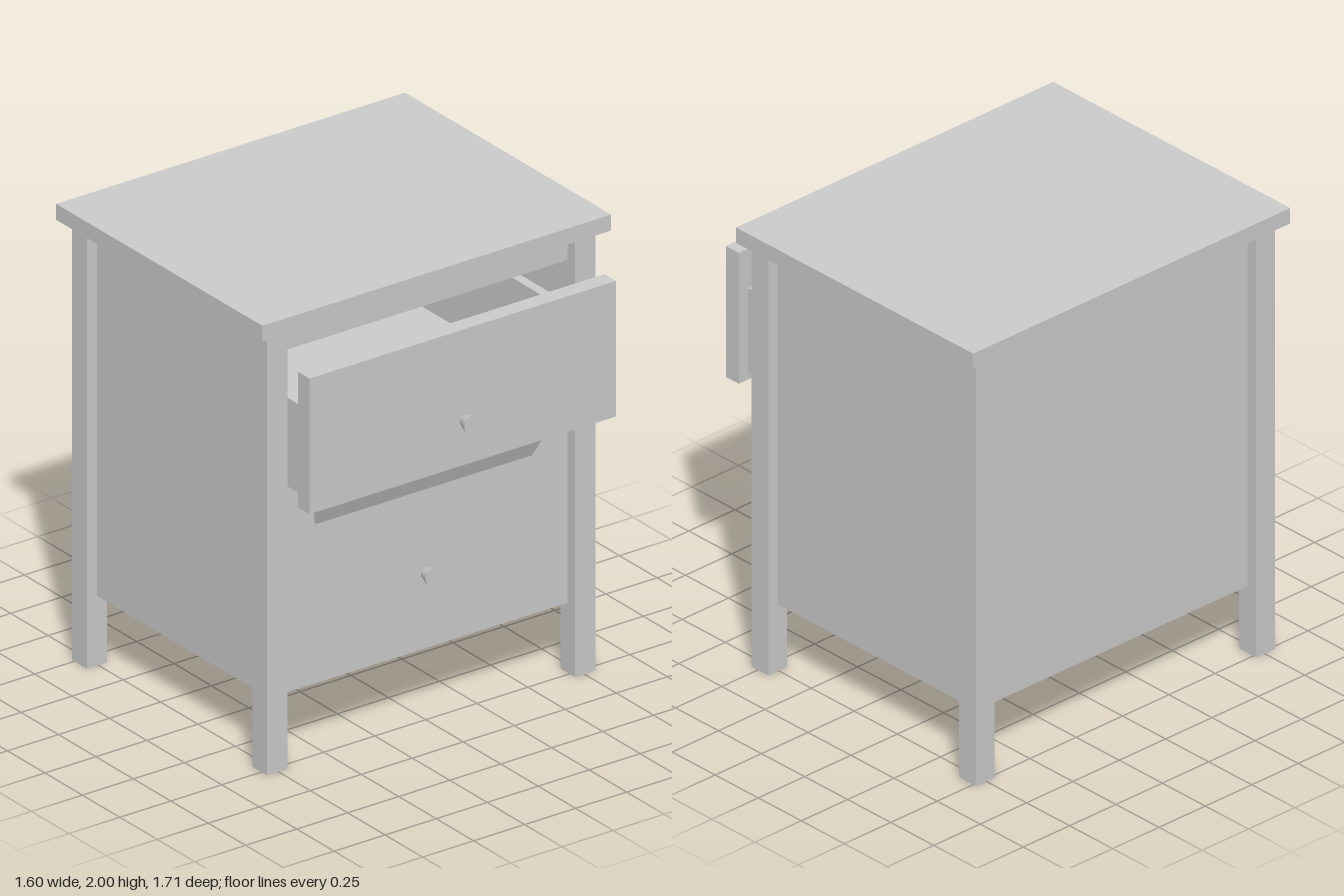
import * as THREE from 'three';

const grey = new THREE.MeshStandardMaterial({ color: 0xcccccc, flatShading: true });
const smooth = new THREE.MeshStandardMaterial({ color: 0xcccccc });
const thin = new THREE.MeshStandardMaterial({ color: 0xcccccc, flatShading: true, side: THREE.DoubleSide });

// Box given by its limits on each axis
function box(parent, name, [x0, x1], [y0, y1], [z0, z1]) {
  const mesh = new THREE.Mesh(new THREE.BoxGeometry(x1 - x0, y1 - y0, z1 - z0), grey);
  mesh.position.set((x0 + x1) / 2, (y0 + y1) / 2, (z0 + z1) / 2);
  mesh.name = name;
  parent.add(mesh);
}

// Flared knob pointing along +x, starting at x
function knob(parent, name, x, y) {
  const geometry = new THREE.CylinderGeometry(0.043, 0.024, 0.057, 10);
  geometry.rotateZ(-Math.PI / 2);
  const mesh = new THREE.Mesh(geometry, smooth);
  mesh.position.set(x + 0.0285, y, -0.01);
  mesh.name = name;
  parent.add(mesh);
}

export function createModel() {
  const model = new THREE.Group();
  model.name = 'nightstand';

  // Carcass
  const cabinet = new THREE.Group();
  cabinet.name = 'cabinet';
  model.add(cabinet);
  box(cabinet, 'tabletop', [-0.803, 0.573], [1.93, 2], [-0.855, 0.855]);
  for (const s of [1, -1]) {
    const side = s > 0 ? 'left' : 'right';
    const span = (a, b) => (s > 0 ? [a, b] : [-b, -a]);
    box(cabinet, side + 'FrontLeg', [0.438, 0.537], [0, 1.93], span(0.705, 0.805));
    box(cabinet, side + 'BackLeg', [-0.767, -0.667], [0, 1.93], span(0.705, 0.805));
    box(cabinet, side + 'SidePanel', [-0.667, 0.438], [0.305, 1.93], span(0.705, 0.755));
  }
  box(cabinet, 'backPanel', [-0.717, -0.667], [0.305, 1.93], [-0.705, 0.705]);
  box(cabinet, 'floorPanel', [-0.667, 0.41], [0.305, 0.345], [-0.705, 0.705]);
  box(cabinet, 'topRail', [0.438, 0.487], [1.81, 1.93], [-0.705, 0.705]);

  // Closed lower drawer
  box(model, 'lowerDrawerFront', [0.41, 0.485], [0.305, 1.21], [-0.705, 0.705]);
  knob(model, 'lowerKnob', 0.485, 0.638);

  // Open upper drawer
  const drawer = new THREE.Group();
  drawer.name = 'upperDrawer';
  model.add(drawer);
  box(drawer, 'drawerFront', [0.668, 0.744], [1.21, 1.805], [-0.752, 0.75]);
  box(drawer, 'drawerLeftSide', [-0.5, 0.668], [1.237, 1.625], [0.66, 0.702]);
  box(drawer, 'drawerRightSide', [-0.5, 0.668], [1.237, 1.625], [-0.702, -0.66]);
  box(drawer, 'drawerBack', [-0.5, -0.46], [1.237, 1.625], [-0.66, 0.66]);
  box(drawer, 'drawerBottom', [-0.46, 0.668], [1.237, 1.265], [-0.66, 0.66]);
  knob(drawer, 'upperKnob', 0.744, 1.408);

  // Tapered sloping panel passing down through the drawer bottom
  const slope = new THREE.BufferGeometry();
  slope.setAttribute('position', new THREE.Float32BufferAttribute([
    0.668, 1.46, 0.695, 0.668, 1.46, -0.695,
    0.42, 0.84, -0.475, 0.42, 0.84, 0.475,
  ], 3));
  slope.setIndex([0, 3, 2, 0, 2, 1]);
  slope.computeVertexNormals();
  const panel = new THREE.Mesh(slope, thin);
  panel.name = 'slopingPanel';
  drawer.add(panel);

  return model;
}
